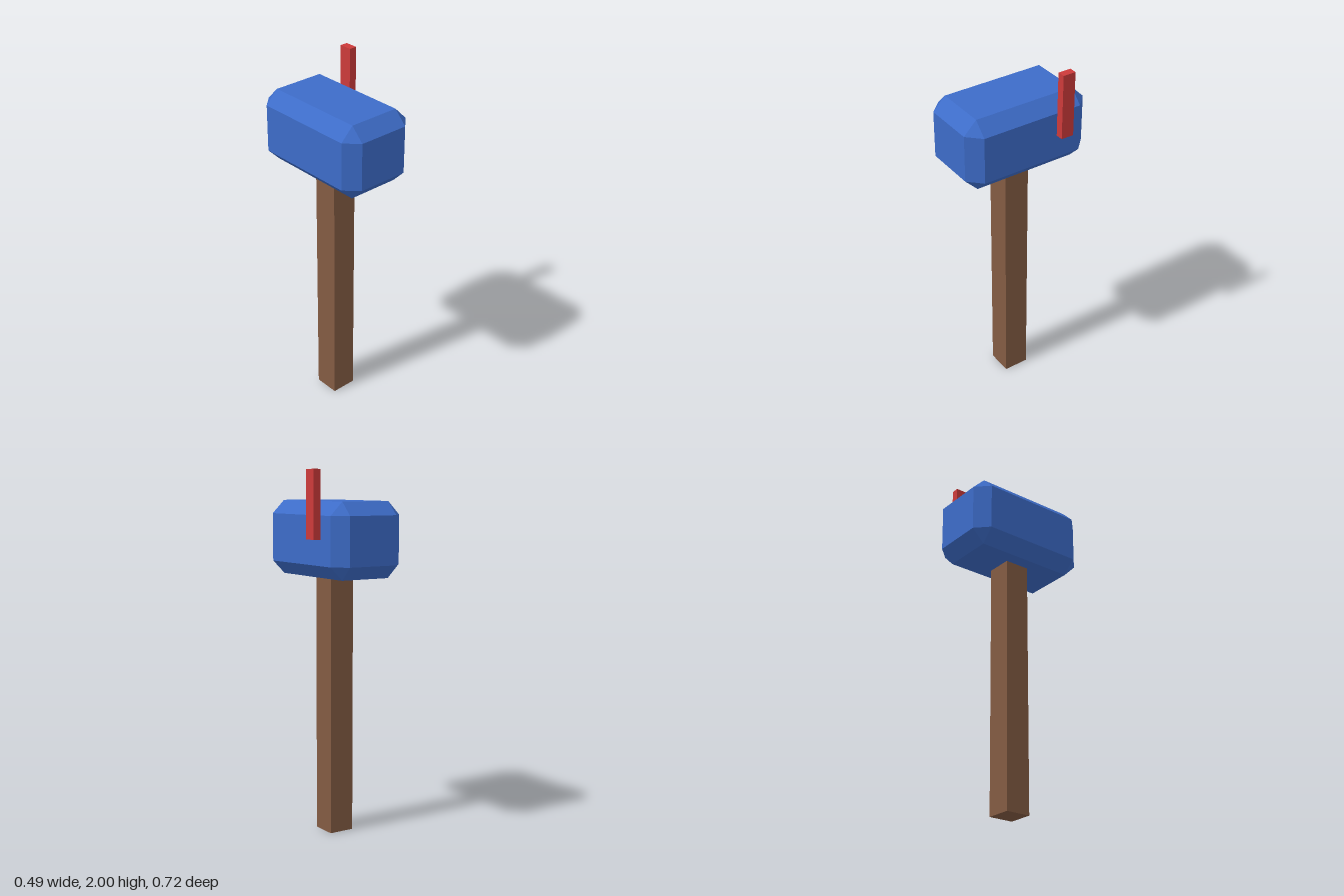
import * as THREE from 'three';
import { ConvexGeometry } from 'three/addons/geometries/ConvexGeometry.js';

const paint = (name, color) => {
  const m = new THREE.MeshStandardMaterial({ color });
  m.name = name;
  return m;
};

// Box with every edge cut at 45 degrees and triangular corners
function chamferedBox(w, h, d, c) {
  const half = [w / 2, h / 2, d / 2];
  const points = [];
  for (const sx of [-1, 1]) for (const sy of [-1, 1]) for (const sz of [-1, 1]) {
    for (let axis = 0; axis < 3; axis++) {
      const p = [sx, sy, sz].map((s, i) => s * (i === axis ? half[i] : half[i] - c));
      points.push(new THREE.Vector3(...p));
    }
  }
  return new ConvexGeometry(points);
}

export function createModel() {
  const model = new THREE.Group();
  model.name = 'mailbox';

  const add = (name, geometry, material, x, y, z) => {
    const mesh = new THREE.Mesh(geometry, material);
    mesh.name = name;
    mesh.position.set(x, y, z);
    model.add(mesh);
  };

  // Wooden post, its top tucked just inside the box
  add('post', new THREE.BoxGeometry(0.144, 1.44, 0.144), paint('brown wood', 0x835b43), -0.027, 0.72, 0);

  // Bevelled letter box
  add('letterBox', chamferedBox(0.434, 0.405, 0.724, 0.072), paint('blue', 0x3d6cc8), -0.027, 1.6325, 0);

  // Raised flag beside the box
  add('flag', new THREE.BoxGeometry(0.043, 0.36, 0.072), paint('red', 0xcc3a3a), 0.221, 1.82, -0.176);

  return model;
}
